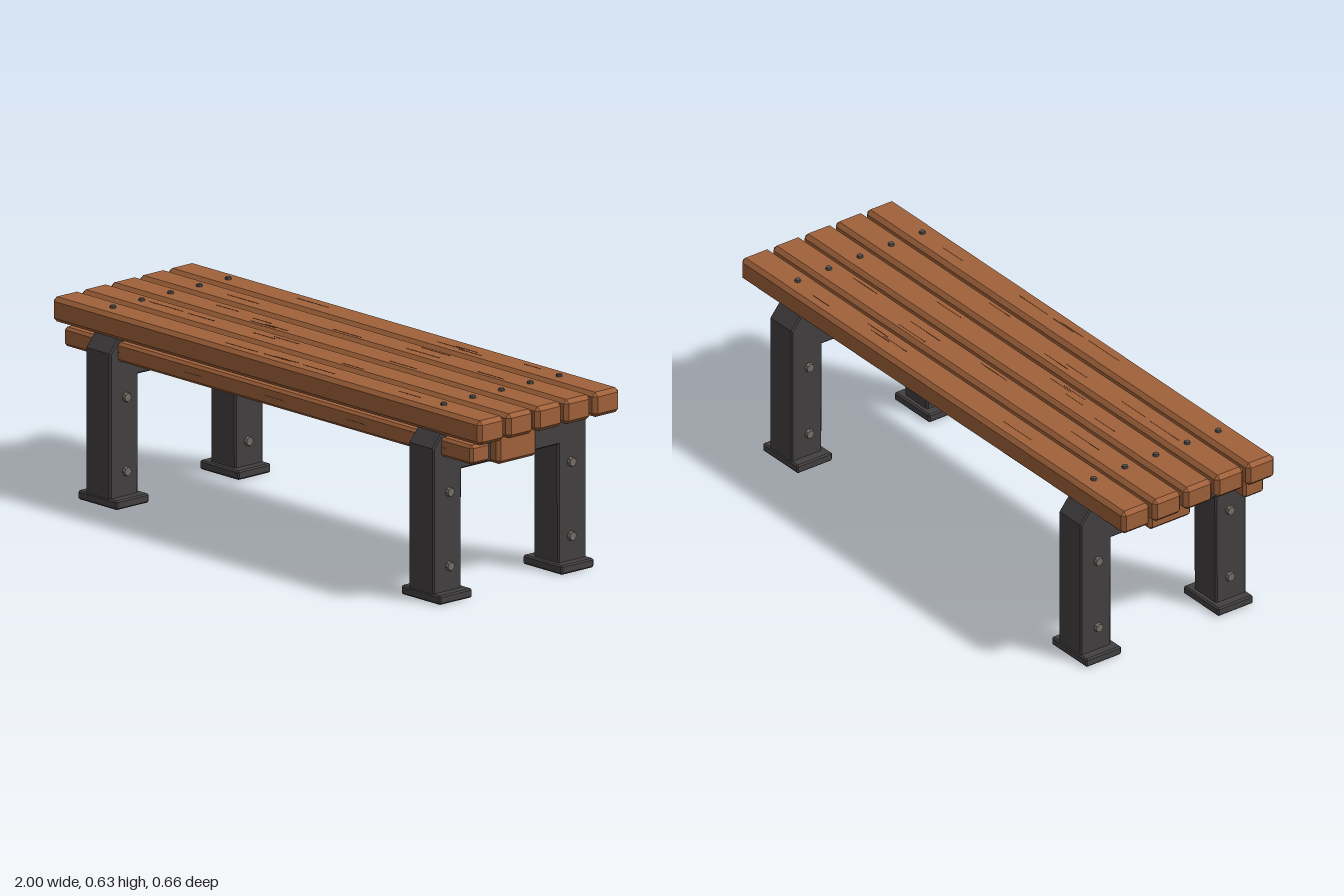
import * as THREE from 'three';
import { ConvexGeometry } from 'three/addons/geometries/ConvexGeometry.js';

const mat = (name, color) => Object.assign(new THREE.MeshStandardMaterial({ color }), { name });

// Box with every edge cut by a flat chamfer c
function chamferBox(w, h, d, c) {
  const pts = [];
  for (const sx of [-1, 1]) for (const sy of [-1, 1]) for (const sz of [-1, 1]) {
    const x = w / 2, y = h / 2, z = d / 2;
    pts.push(new THREE.Vector3(sx * x, sy * (y - c), sz * (z - c)));
    pts.push(new THREE.Vector3(sx * (x - c), sy * y, sz * (z - c)));
    pts.push(new THREE.Vector3(sx * (x - c), sy * (y - c), sz * z));
  }
  return new ConvexGeometry(pts);
}

export function createModel() {
  const wood = mat('wood', 0xa0613a);
  const grain = mat('wood grain', 0x6b4023);
  const iron = mat('dark iron', 0x434041);
  const boltSteel = mat('bolt steel', 0x756c66);
  const screwSteel = mat('screw steel', 0x565453);

  const model = new THREE.Group();
  model.name = 'bench';
  const add = (name, geo, material, x, y, z, parent = model) => {
    const mesh = new THREE.Mesh(geo, material);
    mesh.name = name;
    mesh.position.set(x, y, z);
    parent.add(mesh);
    return mesh;
  };
  let seed = 7;
  const rand = () => (seed = (seed * 16807) % 2147483647) / 2147483647;

  // Seat slats with grain strokes and screws
  const slatGeo = chamferBox(2, 0.081, 0.112, 0.013);
  const screwGeo = new THREE.CylinderGeometry(0.009, 0.011, 0.01, 8).toNonIndexed();
  screwGeo.computeVertexNormals();
  for (let i = -2; i <= 2; i++) {
    const z = i * 0.1235;
    add('seatSlat', slatGeo, wood, 0, 0.5865, z);
    for (let k = 0; k < 5; k++) {
      const stroke = new THREE.BoxGeometry(0.08 + rand() * 0.08, 0.001, 0.002);
      add('slatGrain', stroke, grain, (rand() - 0.5) * 1.5, 0.6273, z + (rand() - 0.5) * 0.07);
    }
    for (const s of [-1, 1]) add('seatScrew', screwGeo, screwSteel, s * 0.772, 0.63, z);
  }

  // Rail under the front slat, and the wide centre beam
  add('frontRail', chamferBox(1.905, 0.063, 0.081, 0.009), wood, 0, 0.505, 0.2535);
  for (let i = -2; i <= 2; i++)
    add('railGrain', new THREE.BoxGeometry(0.08, 0.002, 0.001), grain, i * 0.38 + 0.03, 0.505, 0.2942);
  add('centreBeam', chamferBox(1.7, 0.119, 0.168, 0.011), wood, 0, 0.4735, 0);

  // Arch-shaped end frame, drawn in z and y, then extruded along x
  const b = 0.005;
  const half = [[0.213, 0.01], [0.323, 0.01], [0.323, 0.503], [0.268, 0.571]];
  const outline = [
    ...half, ...half.slice().reverse().map(([z, y]) => [-z, y]),
    [-0.211, 0.423], [0.211, 0.423],
  ];
  const shape = new THREE.Shape(outline.map(([z, y]) => new THREE.Vector2(z, y)));
  const frameGeo = new THREE.ExtrudeGeometry(shape, {
    depth: 0.116 - 2 * b, bevelEnabled: true, bevelSize: b, bevelThickness: b, bevelSegments: 1,
  });
  frameGeo.translate(0, 0, -(0.116 - 2 * b) / 2).rotateY(Math.PI / 2);
  const footGeo = chamferBox(0.182, 0.03, 0.14, 0.005);
  const boltGeo = new THREE.CylinderGeometry(0.014, 0.017, 0.014, 8).rotateZ(-Math.PI / 2).toNonIndexed();
  boltGeo.computeVertexNormals();

  for (const side of [-1, 1]) {
    const end = new THREE.Group();
    end.name = side > 0 ? 'leftEndFrame' : 'rightEndFrame';
    end.position.x = side * 0.754;
    model.add(end);
    add('legArch', frameGeo, iron, 0, 0, 0, end);
    for (const s of [-1, 1]) {
      add('footPlate', footGeo, iron, 0, 0.015, s * 0.261, end);
      // Bolts on both faces of each leg
      for (const y of [0.11, 0.353]) for (const face of [-1, 1]) {
        const bolt = add('legBolt', boltGeo, boltSteel, face * 0.062, y, s * 0.261, end);
        if (face < 0) bolt.rotation.y = Math.PI;
      }
    }
  }
  return model;
}
